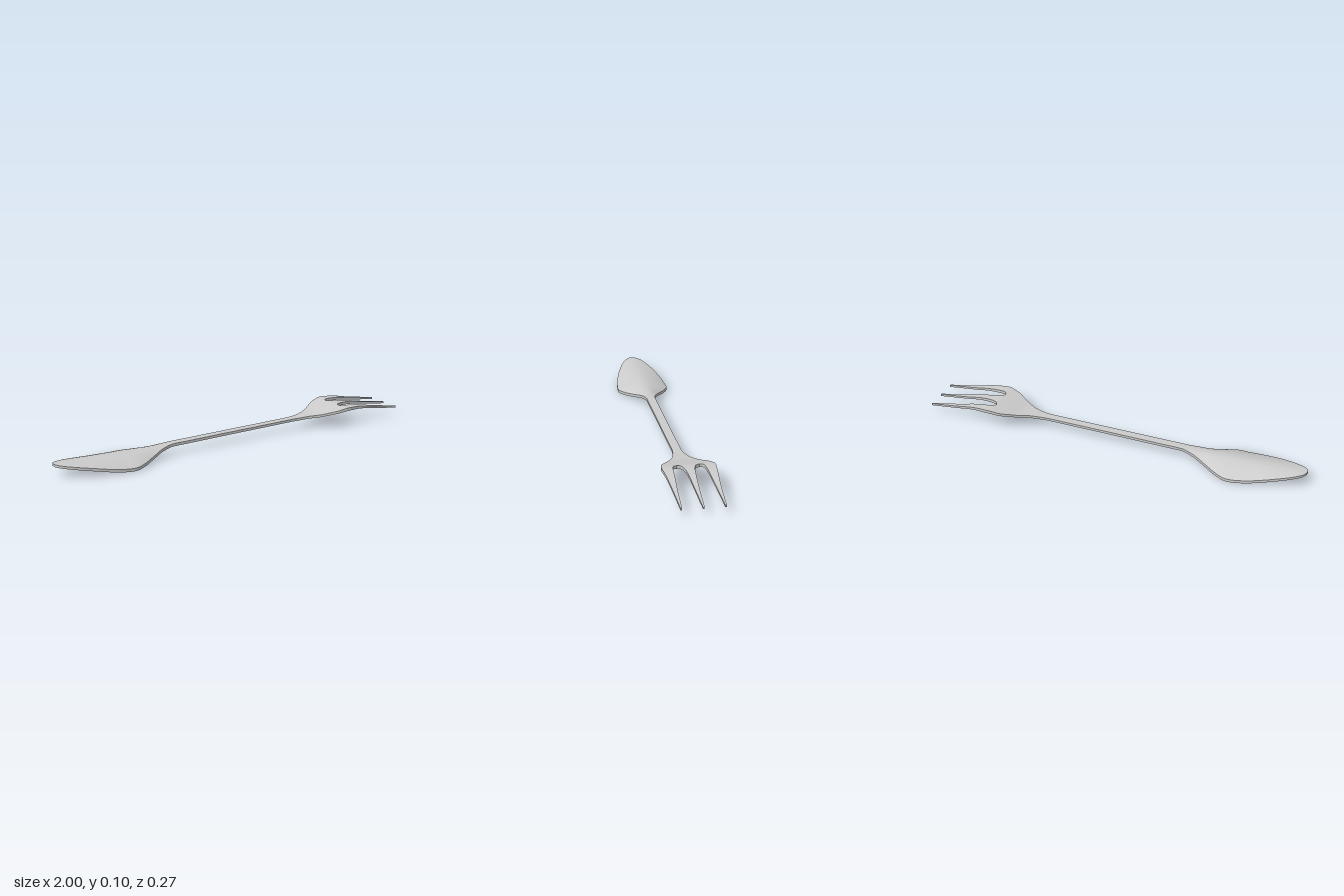
import * as THREE from 'three';
import { toCreasedNormals } from 'three/addons/utils/BufferGeometryUtils.js';

// Smooth monotone curve through [x, value] keys
function curve(keys) {
  const n = keys.length;
  const slope = (i) => (keys[i + 1][1] - keys[i][1]) / (keys[i + 1][0] - keys[i][0]);
  const tangent = (i) => {
    if (i === 0) return slope(0);
    if (i === n - 1) return slope(n - 2);
    const a = slope(i - 1), b = slope(i);
    return a * b <= 0 ? 0 : (2 * a * b) / (a + b);
  };
  return (x) => {
    let i = 0;
    while (i < n - 2 && x > keys[i + 1][0]) i++;
    const h = keys[i + 1][0] - keys[i][0];
    const t = THREE.MathUtils.clamp((x - keys[i][0]) / h, 0, 1);
    const t2 = t * t, t3 = t2 * t;
    return (2 * t3 - 3 * t2 + 1) * keys[i][1] + (t3 - 2 * t2 + t) * h * tangent(i)
      + (3 * t2 - 2 * t3) * keys[i + 1][1] + (t3 - t2) * h * tangent(i + 1);
  };
}

// Height of the upper surface along the centre line
const topY = curve([[-1, 0.067], [-0.85, 0.064], [-0.65, 0.061], [-0.4, 0.058], [0, 0.06],
  [0.38, 0.062], [0.5, 0.07], [0.6, 0.092], [0.66, 0.103], [0.72, 0.1], [0.85, 0.077], [1, 0.053]]);
// Thickness of the sheet
const thick = curve([[-1, 0.012], [-0.65, 0.015], [-0.3, 0.014], [0.38, 0.013], [0.55, 0.013],
  [0.66, 0.016], [0.8, 0.012], [1, 0.01]]);
// How far the rim of the bowl falls below its centre
const droop = curve([[-1, 0], [-0.85, 0.02], [-0.72, 0.039], [-0.65, 0.045], [-0.58, 0.04],
  [-0.5, 0.027], [-0.42, 0.008], [-0.35, 0], [1, 0]]);
// Half width of the bowl, handle and fork root
const halfWidth = curve([[-1, 0.012], [-0.99, 0.028], [-0.97, 0.045], [-0.94, 0.061], [-0.9, 0.078],
  [-0.8, 0.11], [-0.7, 0.13], [-0.63, 0.135], [-0.56, 0.108], [-0.5, 0.073], [-0.42, 0.037],
  [-0.36, 0.023], [0.36, 0.022], [0.45, 0.036], [0.54, 0.082], [0.6, 0.117], [0.645, 0.128]]);

// Sheet lofted along x between two edges z = a(x) and z = b(x)
function sheet(name, xs, a, b, material, across = 16) {
  const pos = [], index = [], ring = 2 * (across + 1);
  for (const x of xs) {
    for (let k = 0; k < ring; k++) {
      const under = k > across;
      const t = (under ? ring - 1 - k : k) / across;
      const z = THREE.MathUtils.lerp(a(x), b(x), t);
      const y = topY(x) - droop(x) * Math.pow(Math.abs(z) / halfWidth(x), 1.7);
      pos.push(x, under ? y - thick(x) : y, z);
    }
  }
  for (let i = 0; i < xs.length - 1; i++) {
    for (let k = 0; k < ring; k++) {
      const p = i * ring + k, q = i * ring + (k + 1) % ring;
      index.push(p, q, p + ring, q, q + ring, p + ring);
    }
  }
  // End caps
  const last = (xs.length - 1) * ring;
  for (let k = 0; k < across; k++) {
    const m = ring - 1 - k;
    index.push(k, m, k + 1, k + 1, m, m - 1);
    index.push(last + k, last + k + 1, last + m, last + k + 1, last + m - 1, last + m);
  }
  const g = new THREE.BufferGeometry();
  g.setAttribute('position', new THREE.Float32BufferAttribute(pos, 3));
  g.setIndex(index);
  const mesh = new THREE.Mesh(toCreasedNormals(g, 0.7), material);
  mesh.name = name;
  return mesh;
}

// Samples from x0 to x1, closer together near x0 when power > 1
const span = (x0, x1, n, power = 1) =>
  Array.from({ length: n + 1 }, (_, i) => x0 + (x1 - x0) * Math.pow(i / n, power));

export function createModel() {
  const group = new THREE.Group();
  group.name = 'doubleEndedUtensil';
  const material = new THREE.MeshStandardMaterial({ color: 0xcccccc });
  const left = (x) => -halfWidth(x);

  // Bowl, handle and fork root meet edge to edge
  group.add(sheet('spoonBowl', span(-1, -0.35, 48, 1.5), left, halfWidth, material, 24));
  group.add(sheet('handle', span(-0.35, 0.36, 16), left, halfWidth, material));
  group.add(sheet('forkRoot', span(0.36, 0.645, 24), left, halfWidth, material));

  // Tines, widening at the base to round off the slots
  const tineXs = span(0.645, 1, 32, 2);
  const centre = curve([[0.645, 0.055], [0.65, 0.041], [0.66, 0.033], [0.7, 0.022], [0.85, 0.011], [1, 0.004]]);
  const inner = curve([[0.645, 0.055], [0.65, 0.068], [0.66, 0.075], [0.75, 0.082], [0.9, 0.092], [1, 0.097]]);
  const outer = curve([[0.645, 0.128], [0.67, 0.128], [0.72, 0.123], [0.85, 0.112], [1, 0.104]]);
  group.add(sheet('centreTine', tineXs, (x) => -centre(x), centre, material, 6));
  group.add(sheet('frontTine', tineXs, inner, outer, material, 6));
  group.add(sheet('backTine', tineXs, (x) => -outer(x), (x) => -inner(x), material, 6));
  return group;
}
